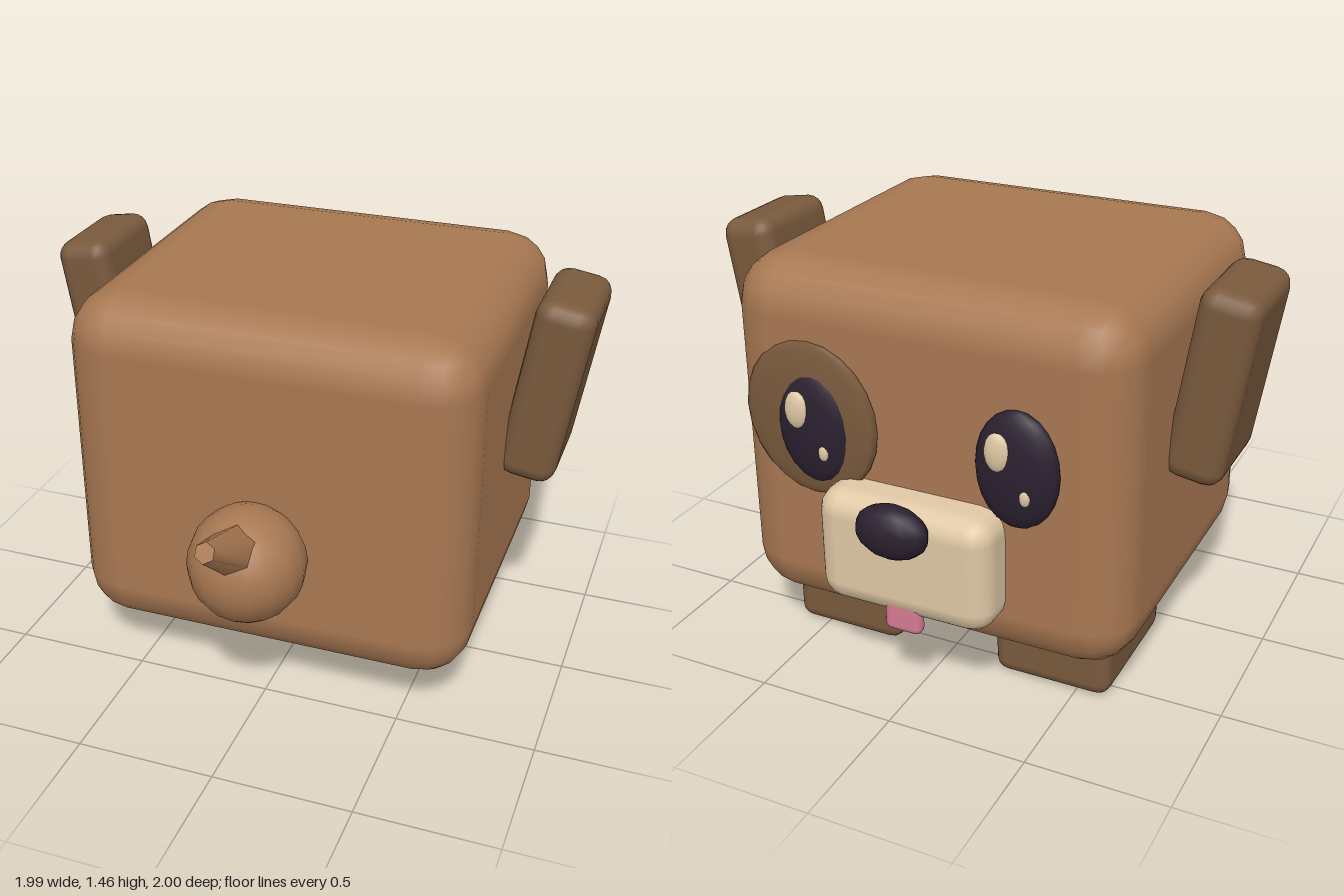
import * as THREE from 'three';
import { RoundedBoxGeometry } from 'three/addons/geometries/RoundedBoxGeometry.js';

function paint(name, hex) {
  const m = new THREE.MeshStandardMaterial({ color: hex });
  m.name = name;
  return m;
}

export function createModel() {
  const model = new THREE.Group();
  model.name = 'cubePuppy';

  const fur = paint('brownFur', 0xa87852);
  const darkFur = paint('darkBrownFur', 0x7a5a3d);
  const cream = paint('cream', 0xdfc8a5);
  const black = paint('softBlack', 0x2b2030);
  const pink = paint('tonguePink', 0xd67a94);

  function add(name, geometry, material, x, y, z) {
    const mesh = new THREE.Mesh(geometry, material);
    mesh.name = name;
    mesh.position.set(x, y, z);
    model.add(mesh);
    return mesh;
  }
  const box = (w, h, d, r) => new RoundedBoxGeometry(w, h, d, 2, r);
  const ellipsoid = (rx, ry, rz, n = 16) =>
    new THREE.SphereGeometry(1, n, n * 0.75).scale(rx, ry, rz);

  // Cube-shaped head and body in one
  add('body', box(1.455, 1.28, 1.31, 0.18), fur, 0, 0.82, -0.105);

  // Ears leaning outwards, and the two feet
  for (const side of [-1, 1]) {
    const ear = add('ear', box(0.21, 0.68, 0.41, 0.06), darkFur, side * 0.845, 1.11, -0.175);
    ear.rotation.z = -side * 0.16;
    add('foot', box(0.43, 0.26, 0.535, 0.05), darkFur, side * 0.405, 0.13, -0.325);
  }

  // Muzzle, nose and tongue
  add('muzzle', box(0.64, 0.42, 0.3, 0.085), cream, 0, 0.55, -0.755);
  add('nose', ellipsoid(0.132, 0.095, 0.07, 12), black, 0, 0.695, -0.93);
  add('tongue', box(0.135, 0.15, 0.055, 0.025), pink, 0, 0.36, -0.867);

  // Eyes with two glints each, both glints set to the same side
  for (const side of [-1, 1]) {
    const x = side * 0.365;
    add('eye', ellipsoid(0.147, 0.205, 0.055), black, x, 0.92, -0.765);
    add('largeGlint', ellipsoid(0.045, 0.067, 0.022, 12), cream, x + 0.05, 0.99, -0.81);
    add('smallGlint', ellipsoid(0.02, 0.03, 0.012, 8), cream, x - 0.045, 0.85, -0.81);
  }

  // Dark patch around one eye
  const patch = add('eyePatch', ellipsoid(0.26, 0.275, 0.03), darkFur, 0.39, 0.945, -0.763);
  patch.rotation.y = -0.04;

  // Tail: a ball with a tapered tip pointing up and back
  add('tailBall', ellipsoid(0.205, 0.205, 0.205), fur, 0, 0.645, 0.642);
  const length = 0.36;
  const tip = add('tailTip', new THREE.CylinderGeometry(0.036, 0.108, length, 6), fur,
    0, 0.888 - length / 2 * 0.5, 0.98 - length / 2 * 0.866);
  tip.rotation.x = Math.PI / 3;

  return model;
}
